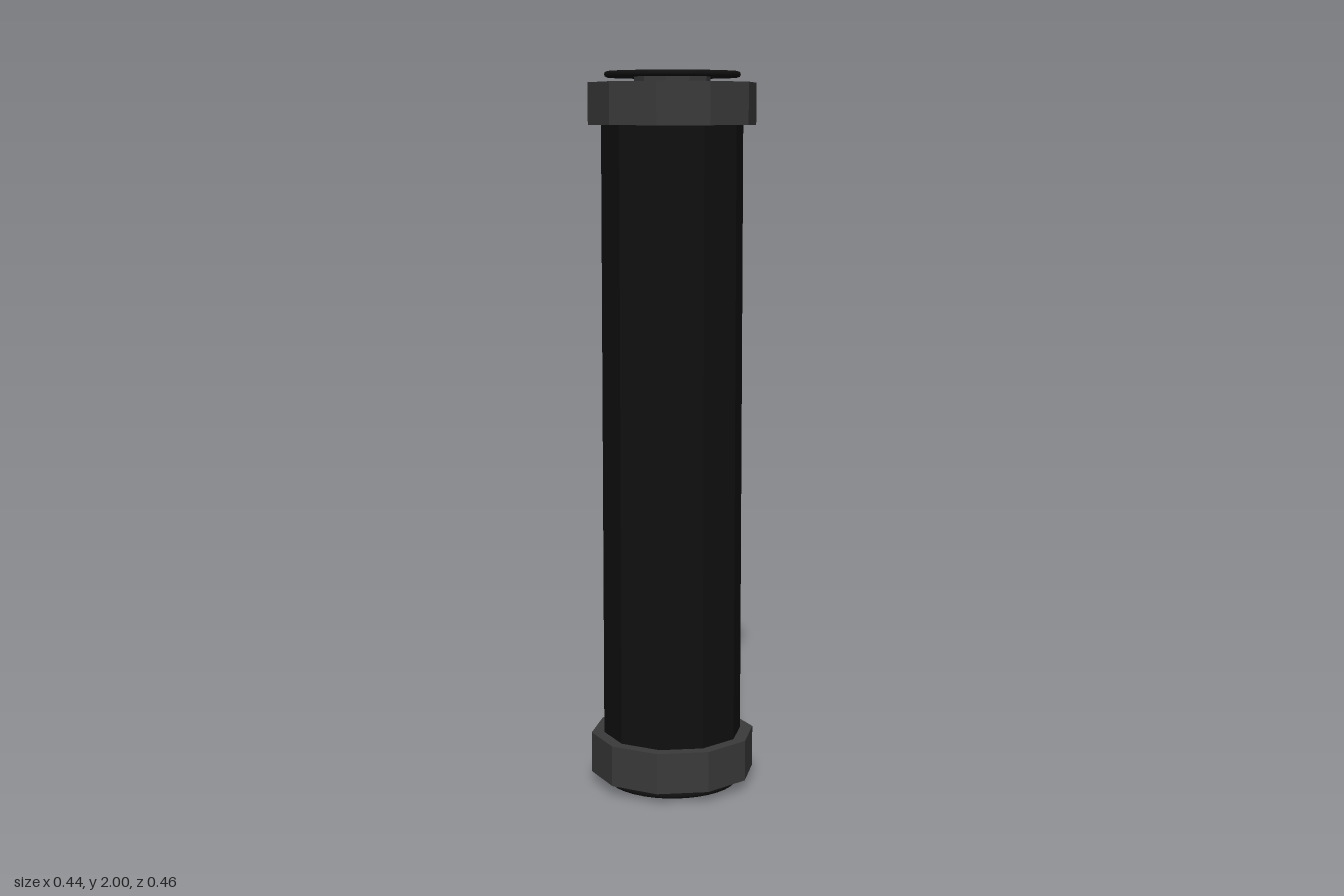
import * as THREE from 'three';

const SIDES = 10;

export function createModel() {
  const model = new THREE.Group();
  const black = new THREE.MeshStandardMaterial({ color: 0x101010, flatShading: true });
  const grey = new THREE.MeshStandardMaterial({ color: 0x3b3a3a, flatShading: true });
  const ringBlack = new THREE.MeshStandardMaterial({ color: 0x101010 });

  const add = (parent, name, geometry, material, y = 0) => {
    const mesh = new THREE.Mesh(geometry, material);
    mesh.name = name;
    mesh.position.y = y;
    parent.add(mesh);
    return mesh;
  };

  // Ten-sided tube running between the end caps
  add(model, 'body', new THREE.CylinderGeometry(0.196, 0.196, 1.8, SIDES), black, 1);

  // Collar with a shallow groove in its outer face, heights measured from the middle
  const collarProfile = [
    [0, 0.855], [0.232, 0.855], [0.232, 0.97], [0.16, 0.97],
    [0.16, 0.962], [0.14, 0.962], [0.14, 0.97], [0, 0.97],
  ].map(([r, y]) => new THREE.Vector2(r, y));
  const collarGeometry = new THREE.LatheGeometry(collarProfile, SIDES);
  const stubGeometry = new THREE.CylinderGeometry(0.105, 0.105, 0.025, SIDES);
  const ringGeometry = new THREE.TorusGeometry(0.178, 0.0085, 8, 36).rotateX(Math.PI / 2);

  // Matching ends, the lower one turned upside down
  for (const [name, turn] of [['topEnd', 0], ['bottomEnd', Math.PI]]) {
    const end = new THREE.Group();
    end.name = name;
    end.position.y = 1;
    end.rotation.x = turn;
    add(end, 'collar', collarGeometry, grey);
    add(end, 'stub', stubGeometry, grey, 0.9775);
    add(end, 'ring', ringGeometry, ringBlack, 0.9915);
    model.add(end);
  }
  return model;
}
